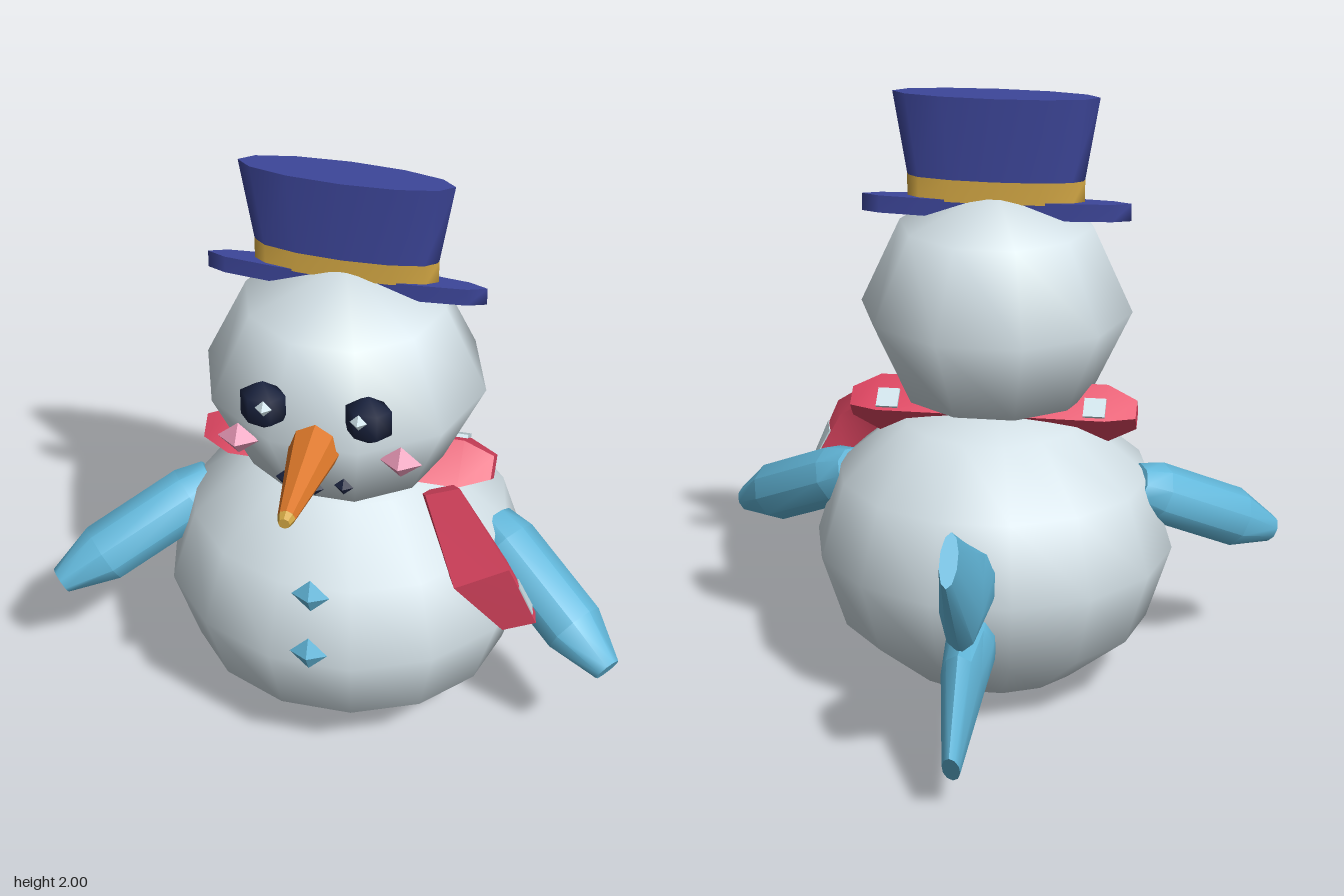
import * as THREE from 'three';
import { toCreasedNormals } from 'three/addons/utils/BufferGeometryUtils.js';

const V = (x, y, z) => new THREE.Vector3(x, y, z);

function makeMaterials() {
  const colors = {
    snow: 0xd4e1e7, blue: 0x63b9dc, hatBlue: 0x3d469a, gold: 0xd4a844, red: 0xe04662,
    carrot: 0xdd782a, blush: 0xe596b4, navy: 0x1b2440, pale: 0xcfe3ea,
  };
  const mats = {};
  for (const [name, color] of Object.entries(colors)) {
    mats[name] = new THREE.MeshStandardMaterial({ color });
    mats[name].name = name;
  }
  return mats;
}

// Closed skin through rings; each section is [centre, half axis u, half axis v]
function loft(sections, sides, crease = 0.7) {
  const k = sides === 4 ? Math.SQRT2 : 1;
  const off = sides === 4 ? Math.PI / 4 : 0;
  const last = sections.length - 1;
  const axis = sections[last][0].clone().sub(sections[0][0]);
  const flip = sections[0][1].clone().cross(sections[0][2]).dot(axis) < 0 ? -1 : 1;
  const pos = [], idx = [];
  for (const [c, u, v] of sections) {
    for (let i = 0; i < sides; i++) {
      const a = off + (i / sides) * Math.PI * 2;
      const p = c.clone().addScaledVector(u, k * Math.cos(a)).addScaledVector(v, flip * k * Math.sin(a));
      pos.push(p.x, p.y, p.z);
    }
  }
  const base = sections.length * sides;
  pos.push(...sections[0][0].toArray(), ...sections[last][0].toArray());
  for (let i = 0; i < sides; i++) {
    const j = (i + 1) % sides;
    for (let s = 0; s < last; s++) {
      const a = s * sides + i, b = s * sides + j;
      idx.push(a, b, a + sides, b, b + sides, a + sides);
    }
    idx.push(base, j, i, base + 1, last * sides + i, last * sides + j);
  }
  const g = new THREE.BufferGeometry();
  g.setAttribute('position', new THREE.Float32BufferAttribute(pos, 3));
  g.setIndex(idx);
  return toCreasedNormals(g, crease);
}

// Round limb from a to b; rings are [fraction along, radius]
function limb(a, b, rings, sides) {
  const dir = b.clone().sub(a).normalize();
  const u = V(0, 1, 0).cross(dir).normalize();
  const v = dir.clone().cross(u);
  return loft(rings.map(([t, r]) => [a.clone().lerp(b, t), u.clone().multiplyScalar(r), v.clone().multiplyScalar(r)]), sides);
}

export function createModel() {
  const model = new THREE.Group();
  const m = makeMaterials();
  const add = (name, geo, mat, pos = [0, 0, 0], scale = [1, 1, 1]) => {
    const mesh = new THREE.Mesh(geo, mat);
    mesh.name = name;
    mesh.position.set(...pos);
    mesh.scale.set(...scale);
    model.add(mesh);
    return mesh;
  };
  const gem = new THREE.OctahedronGeometry(1, 0);

  // Body and head
  add('body', new THREE.SphereGeometry(1, 14, 6), m.snow, [0, 0.505, 0.125], [0.59, 0.505, 0.55]);
  add('head', new THREE.SphereGeometry(1, 10, 4), m.snow, [0, 1.298, 0.18], [0.44, 0.396, 0.42]);

  // Flattened top hat
  const hat = (name, rTop, rBottom, y0, y1, depth, mat) => add(name,
    toCreasedNormals(new THREE.CylinderGeometry(rTop, rBottom, y1 - y0, 12), 0.9), mat,
    [0, (y0 + y1) / 2, 0.168], [1, 1, depth / rTop]);
  const quarter = (g) => g.rotateY(Math.PI / 2);
  for (const mesh of [
    hat('hatBrim', 0.43, 0.43, 1.605, 1.662, 0.04, m.hatBlue),
    hat('hatBand', 0.283, 0.283, 1.655, 1.735, 0.045, m.gold),
    hat('hatCrown', 0.327, 0.282, 1.73, 2.0, 0.064, m.hatBlue),
  ]) quarter(mesh.geometry);

  // Face
  const eye = new THREE.SphereGeometry(1, 6, 3);
  for (const [side, s] of [['left', 1], ['right', -1]]) {
    add(side + 'Eye', eye, m.navy, [s * 0.16, 1.405, 0.545], [0.08, 0.086, 0.055]);
    add(side + 'EyeHighlight', gem, m.pale, [s * 0.143, 1.435, 0.603], [0.026, 0.028, 0.022]);
    add(side + 'Cheek', gem, m.blush, [s * 0.25, 1.24, 0.512], [0.065, 0.056, 0.045]);
    add(side + 'MouthDot', gem, m.navy, [s * 0.09, 1.162, 0.57], [0.03, 0.03, 0.02]);
  }
  add('middleMouthDot', gem, m.navy, [0, 1.14, 0.57], [0.03, 0.028, 0.02]);
  add('nose', limb(V(0, 1.283, 0.55), V(0, 1.278, 0.885), [[0, 0.081], [1, 0.027]], 8), m.carrot);
  add('noseTip', limb(V(0, 1.278, 0.885), V(0, 1.277, 0.912), [[0, 0.027], [1, 0.018]], 8), m.gold);

  // Buttons
  add('upperButton', gem, m.blue, [0, 0.767, 0.638], [0.06, 0.062, 0.032]);
  add('lowerButton', gem, m.blue, [0, 0.56, 0.672], [0.06, 0.062, 0.032]);

  // Flipper arms
  for (const [side, s] of [['left', 1], ['right', -1]]) {
    add(side + 'Arm', limb(V(s * 0.46, 0.725, 0.115), V(s * 0.9, 0.46, 0.42),
      [[0, 0.075], [0.15, 0.1], [0.72, 0.1], [1, 0.045]], 9), m.blue);
  }

  // Tail flukes: each ring runs between two edge points [z, y] with half thickness t
  const fluke = (name, rings) => add(name, loft(rings.map(([z0, y0, z1, y1, t]) => [
    V(0, (y0 + y1) / 2, (z0 + z1) / 2), V(0, (y0 - y1) / 2, (z0 - z1) / 2), V(t, 0, 0)]), 10), m.blue);
  fluke('upperTailFluke', [[-0.28, 0.65, -0.28, 0.46, 0.07], [-0.41, 0.72, -0.46, 0.465, 0.08],
    [-0.56, 0.805, -0.64, 0.465, 0.07], [-0.79, 0.94, -0.905, 0.81, 0.028]]);
  fluke('lowerTailFluke', [[-0.28, 0.46, -0.28, 0.3, 0.07], [-0.46, 0.475, -0.38, 0.25, 0.08],
    [-0.68, 0.48, -0.5, 0.185, 0.066], [-0.87, 0.23, -0.79, 0.11, 0.028]]);

  // Scarf around the neck: a tilted square bar with tapered ends
  const bar = (x, k) => [V(x, 0.965, 0.13), V(0, 0.055 * k, -0.05 * k), V(0, -0.04 * k, -0.06 * k)];
  add('scarfLoop', loft([bar(-0.465, 0.5), bar(-0.37, 1), bar(0.37, 1), bar(0.465, 0.5)], 4, 0.5), m.red);
  for (const [side, s] of [['left', 1], ['right', -1]]) {
    const strip = (x) => [V(s * x, 1.0, 0.05), V(0, 0.02, 0.03), V(0, 0.004, -0.004)];
    const stripe = add(side + 'ScarfStripe', loft([strip(0.3), strip(0.37)], 4, 0.5), m.pale);
    stripe.position.set(0, 0.012, 0.002);
  }

  // Hanging scarf end with a pale edge stripe
  const hang = [
    [V(0.32, 0.955, 0.27), V(0.055, 0.028, 0.005), V(0.015, 0.015, 0.025)],
    [V(0.485, 0.765, 0.415), V(0.085, 0.055, 0), V(0.01, 0.012, 0.035)],
    [V(0.612, 0.595, 0.41), V(0.052, 0.026, 0), V(0.005, 0, 0.025)],
  ];
  add('scarfEnd', loft(hang, 4, 0.5), m.red);
  const edge = (t) => {
    const [c, u, v] = [0, 1, 2].map((i) => hang[1][i].clone().lerp(hang[2][i], t));
    return [c.add(u), u.clone().multiplyScalar(0.06), v.multiplyScalar(0.9)];
  };
  add('scarfEndStripe', loft([edge(0.35), edge(0.85)], 4, 0.5), m.pale);

  return model;
}
